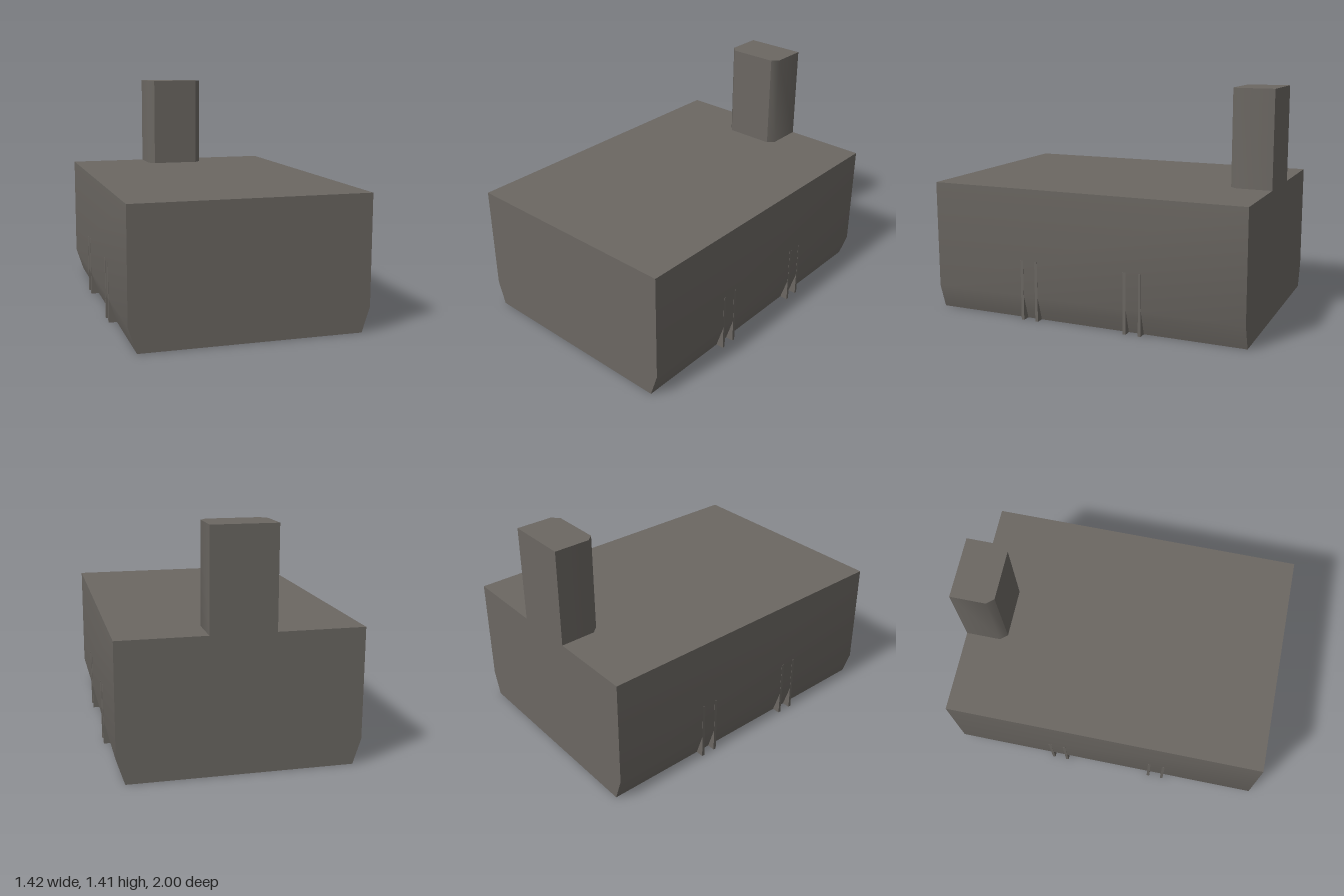
import * as THREE from 'three';
import { toCreasedNormals } from 'three/addons/utils/BufferGeometryUtils.js';

// Straight extrusion of a 2D outline along +z, softening only shallow corners
function prism(points, depth) {
  const shape = new THREE.Shape(points.map(([x, y]) => new THREE.Vector2(x, y)));
  const geometry = new THREE.ExtrudeGeometry(shape, { depth, bevelEnabled: false });
  return toCreasedNormals(geometry, Math.PI / 4);
}

export function createModel() {
  const group = new THREE.Group();
  const stone = new THREE.MeshStandardMaterial({ color: 0x6b6762 });
  stone.name = 'warm grey';

  function add(name, geometry) {
    const mesh = new THREE.Mesh(geometry, stone);
    mesh.name = name;
    group.add(mesh);
    return mesh;
  }

  // Main block with its lower side edges cut back
  const body = prism([
    [-0.66, 0], [0.66, 0], [0.709, 0.15], [0.709, 0.815], [-0.709, 0.815], [-0.709, 0.15],
  ], 2);
  add('body', body.translate(0, 0, -1));

  // Tower at the back, with chamfered front corners
  const tower = prism([
    [-0.194, 0.782], [-0.157, 0.739], [0.153, 0.739], [0.19, 0.782], [0.19, 1], [-0.194, 1],
  ], 0.597);
  add('tower', tower.rotateX(-Math.PI / 2).translate(0, 0.815, 0));

  // Paired thin brackets filling the cut-back edges on both sides
  const thickness = 0.018;
  for (const side of [-1, 1]) {
    const outline = [[0.655, 0], [0.71, 0], [0.7105, 0.375], [0.705, 0.375], [0.705, 0.15]]
      .map(([x, y]) => [side * x, y]);
    for (const z of [0.4, 0.305, -0.275, -0.37]) {
      add('bracket', prism(outline, thickness)).position.z = z - thickness / 2;
    }
  }

  return group;
}
